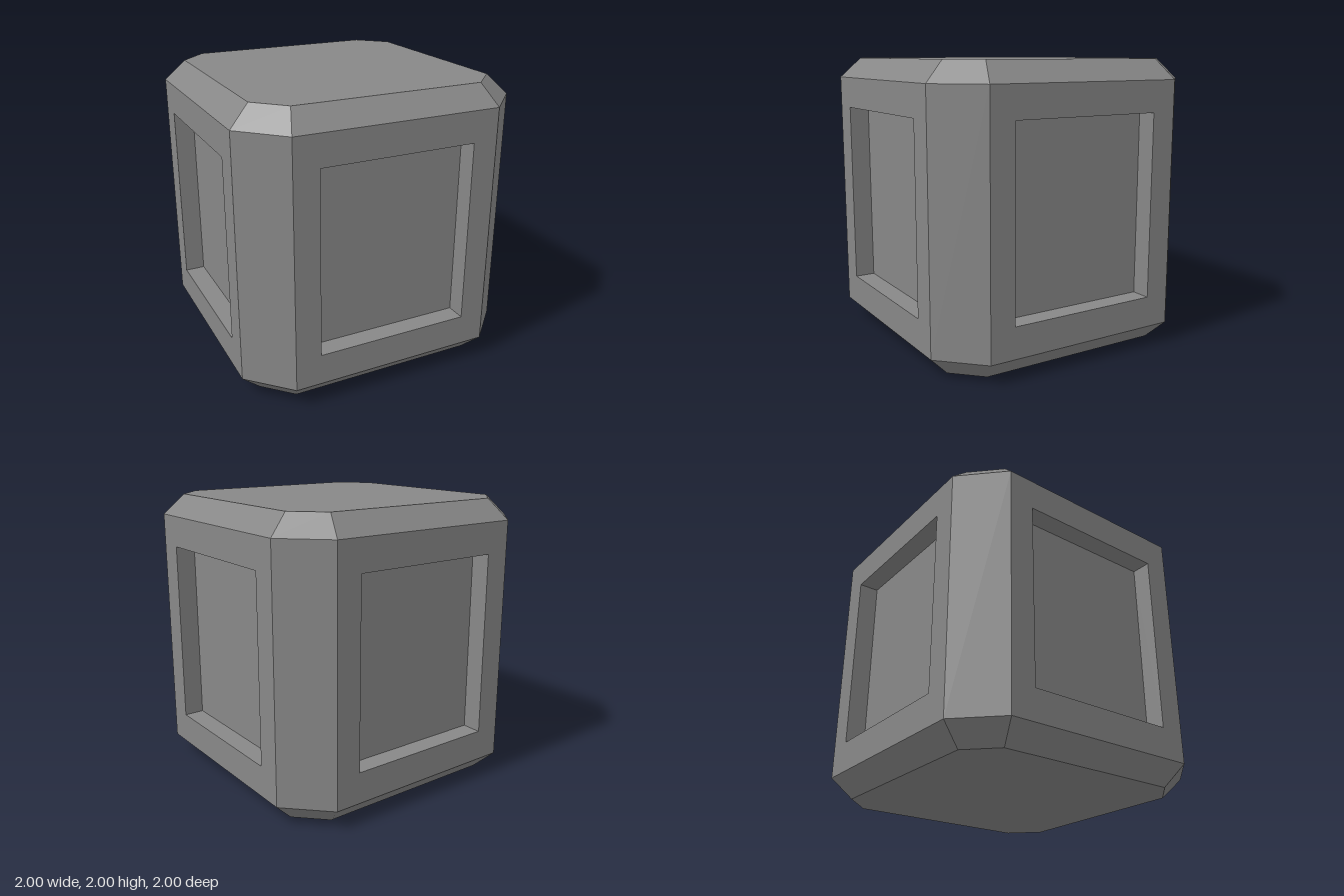
import * as THREE from 'three';

const material = new THREE.MeshStandardMaterial({ color: 0x878787, flatShading: true });

// Fan of triangles over a convex face, corners counter-clockwise from outside
function face(out, pts) {
  for (let i = 1; i < pts.length - 1; i++) out.push(...pts[0], ...pts[i], ...pts[i + 1]);
}

// Band of quads joining two closed loops
function band(out, a, b) {
  a.forEach((p, i) => {
    const j = (i + 1) % a.length;
    face(out, [p, a[j], b[j], b[i]]);
  });
}

function makeMesh(name, positions) {
  const geometry = new THREE.BufferGeometry();
  geometry.setAttribute('position', new THREE.Float32BufferAttribute(positions, 3));
  geometry.computeVertexNormals();
  const mesh = new THREE.Mesh(geometry, material);
  mesh.name = name;
  return mesh;
}

// Square with cut corners: r = half width, s = half length of the straight sides
const octagon = (r, s, y) => [
  [-s, y, r], [s, y, r], [r, y, s], [r, y, -s],
  [s, y, -r], [-s, y, -r], [-r, y, -s], [-r, y, s],
];

const rectangle = (w, y0, y1, z) => [[-w, y0, z], [w, y0, z], [w, y1, z], [-w, y1, z]];

export function createModel() {
  const group = new THREE.Group();
  const bottom = 0.14, top = 1.86, flat = 0.725;

  // Flat lid and base
  const cap = octagon(0.86, 0.67, 2);
  const base = octagon(0.86, 0.67, 0);
  const lid = [], foot = [];
  face(lid, cap);
  face(foot, [...base].reverse());
  group.add(makeMesh('topFace', lid), makeMesh('bottomFace', foot));

  // Sloped bevels around the top and bottom edges
  const upper = [], lower = [];
  band(upper, octagon(1, flat, top), cap);
  band(lower, base, octagon(1, flat, bottom));
  group.add(makeMesh('topBevel', upper), makeMesh('bottomBevel', lower));

  // Recessed side panel and the upright corner chamfer beside it
  const panel = [], corner = [];
  const rim = rectangle(0.547, 0.357, 1.643, 1);
  const floor = rectangle(0.547, 0.357, 1.643, 0.86);
  band(panel, rectangle(flat, bottom, top, 1), rim);
  band(panel, rim, floor);
  face(panel, floor);
  face(corner, [[flat, bottom, 1], [1, bottom, flat], [1, top, flat], [flat, top, 1]]);

  ['front', 'left', 'back', 'right'].forEach((side, i) => {
    const part = new THREE.Group();
    part.name = side + 'Side';
    part.add(makeMesh('recessedPanel', panel), makeMesh('cornerChamfer', corner));
    part.rotation.y = i * Math.PI / 2;
    group.add(part);
  });

  return group;
}
